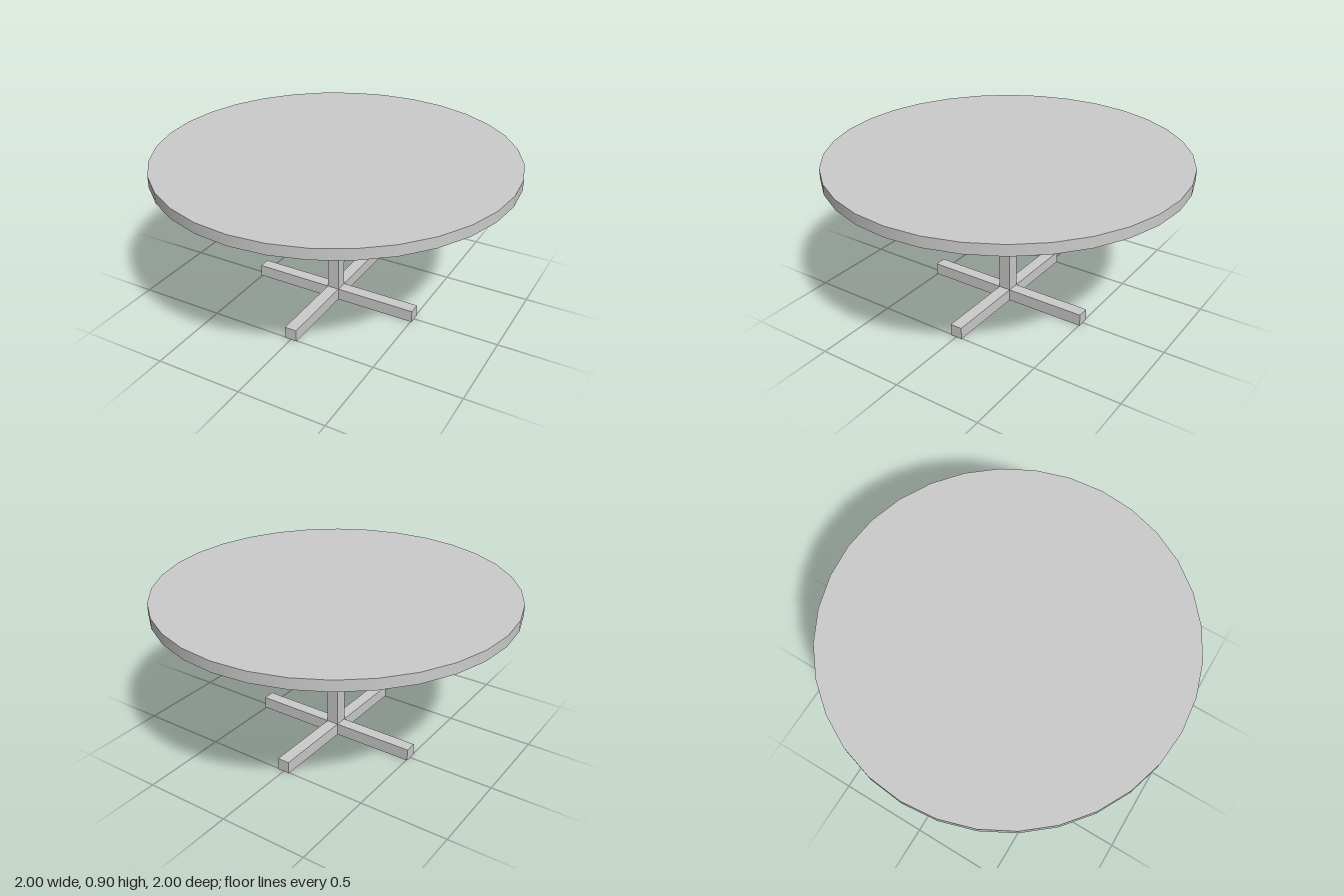
import * as THREE from 'three';

const TOP_Y = 0.9, TOP_THICK = 0.06, BAR = 0.07, FOOT_SPAN = 1.01;

export function createModel() {
  const table = new THREE.Group();
  table.name = 'roundTable';
  const material = new THREE.MeshStandardMaterial({ color: 0xcccccc });

  const add = (name, geometry, y) => {
    const mesh = new THREE.Mesh(geometry, material);
    mesh.name = name;
    mesh.position.y = y;
    table.add(mesh);
  };

  // Round top, 32 sides with a smooth rim
  add('tableTop', new THREE.CylinderGeometry(1, 1, TOP_THICK, 32), TOP_Y - TOP_THICK / 2);

  // Square post between the foot and the top
  const postHeight = TOP_Y - TOP_THICK - BAR;
  add('post', new THREE.BoxGeometry(BAR, postHeight, BAR), BAR + postHeight / 2);

  // Cross-shaped foot: one arm outline turned four times, then extruded upwards
  const h = BAR / 2, r = FOOT_SPAN / 2;
  const outline = [];
  for (let i = 0; i < 4; i++) {
    for (const [x, y] of [[h, -h], [r, -h], [r, h]]) {
      outline.push(new THREE.Vector2(x, y).rotateAround(new THREE.Vector2(), i * Math.PI / 2));
    }
  }
  const foot = new THREE.ExtrudeGeometry(new THREE.Shape(outline), { depth: BAR, bevelEnabled: false });
  foot.rotateX(-Math.PI / 2);
  add('crossFoot', foot, 0);

  return table;
}
